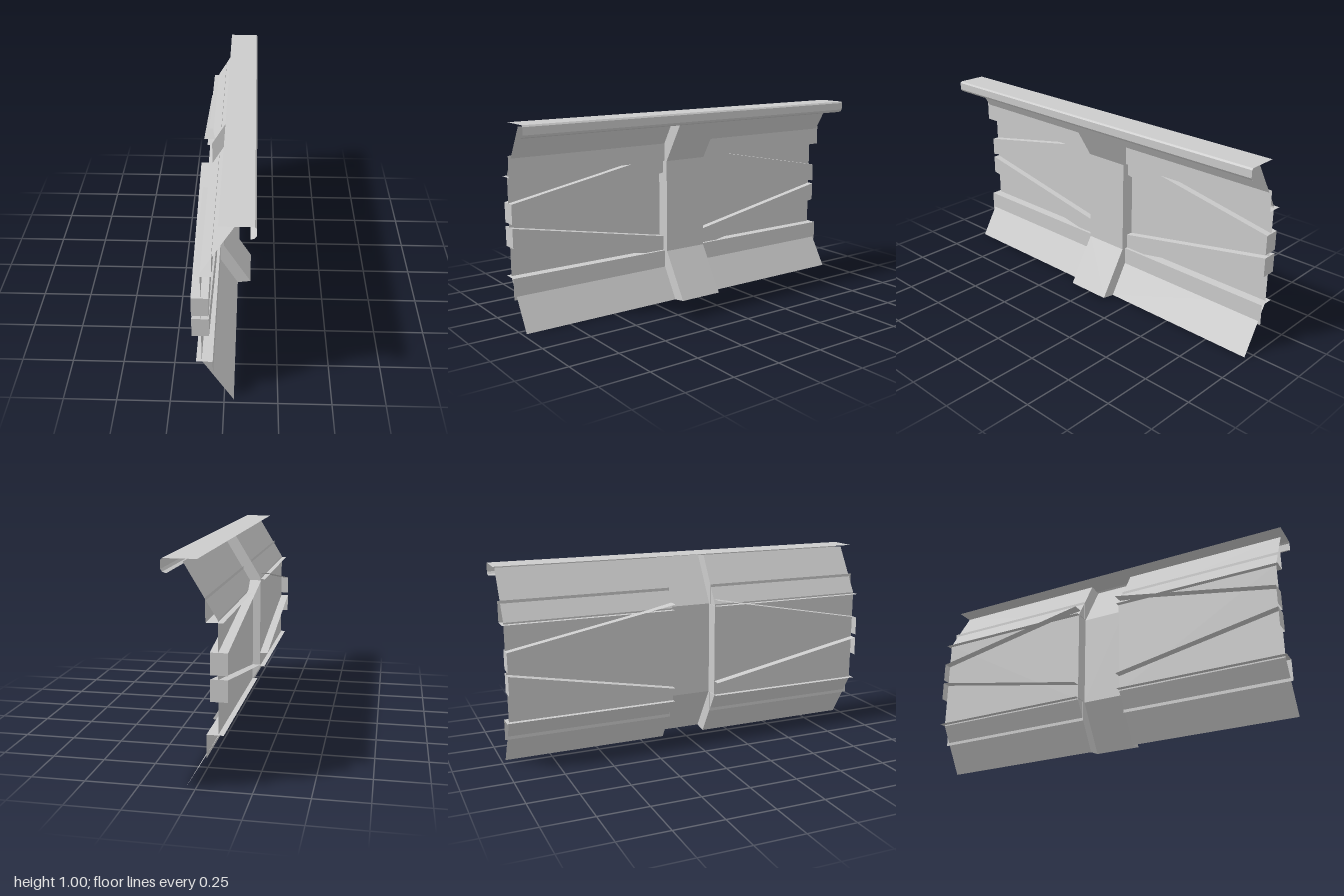
import * as THREE from 'three';

const material = new THREE.MeshStandardMaterial({
  color: 0xcccccc, side: THREE.DoubleSide, flatShading: true,
});

// Thin sheet folded along an [x, y] profile, running from z0 to z1; rise lifts the z1 end
function foldedSheet(name, profile, z0, z1, rise = 0) {
  const pos = [];
  for (let i = 0; i < profile.length - 1; i++) {
    const [ax, ay] = profile[i], [bx, by] = profile[i + 1];
    const a = [ax, ay, z0], b = [bx, by, z0];
    const c = [bx, by + rise, z1], d = [ax, ay + rise, z1];
    pos.push(...a, ...b, ...c, ...a, ...c, ...d);
  }
  const geo = new THREE.BufferGeometry();
  geo.setAttribute('position', new THREE.Float32BufferAttribute(pos, 3));
  geo.computeVertexNormals();
  const mesh = new THREE.Mesh(geo, material);
  mesh.name = name;
  return mesh;
}

// Flat plate with an [x, y] outline, standing at a given z
function flatPlate(name, outline, z) {
  const shape = new THREE.Shape(outline.map(([x, y]) => new THREE.Vector2(x, y)));
  const mesh = new THREE.Mesh(new THREE.ShapeGeometry(shape), material);
  mesh.name = name;
  mesh.position.z = z;
  return mesh;
}

export function createModel() {
  const model = new THREE.Group();

  const panelProfile = [[0.045, 0], [-0.1, 0.243], [-0.1, 0.743], [0.045, 0.983]];
  const postProfile = [[0.115, 0.01], [-0.03, 0.25], [-0.03, 0.735], [0.115, 0.975]];
  const inner = 0.12, outer = 0.98;

  // Top rail: flat plate with a turned-down, tucked-in lip
  model.add(foldedSheet('topRail', [
    [-0.02, 0.998], [0.128, 0.998], [0.135, 0.99], [0.135, 0.953],
    [0.127, 0.942], [0.11, 0.936],
  ], -1, 1));

  // Central post: open-backed channel
  model.add(foldedSheet('postFace', postProfile, -inner, inner));

  for (const s of [1, -1]) {
    const half = new THREE.Group();
    half.name = s > 0 ? 'frontHalf' : 'backHalf';

    half.add(flatPlate('postSide', [...panelProfile, ...[...postProfile].reverse()], s * inner));
    half.add(foldedSheet('foldedPanel', panelProfile, s * inner, s * outer));

    // Angle stiffeners along the panel folds
    half.add(foldedSheet('upperAngle', [[-0.125, 0.735], [-0.05, 0.735], [-0.05, 0.84]], s * 0.117, s * 0.993));
    half.add(foldedSheet('lowerAngle', [[-0.125, 0.25], [-0.05, 0.25], [-0.05, 0.143]], s * 0.117, s * 0.993));

    // Sloping braces: top flange, web and closed outer end
    for (const [name, top, rise] of [['upperBrace', 0.606, 0.163], ['lowerBrace', 0.49, -0.165]]) {
      const bottom = top - 0.098;
      half.add(foldedSheet(name, [[-0.142, top], [-0.065, top], [-0.065, bottom]], s * outer, s * inner, rise));
      half.add(flatPlate(name + 'End',
        [[-0.142, bottom], [-0.065, bottom], [-0.065, top], [-0.142, top]], s * outer));
    }
    model.add(half);
  }
  return model;
}
